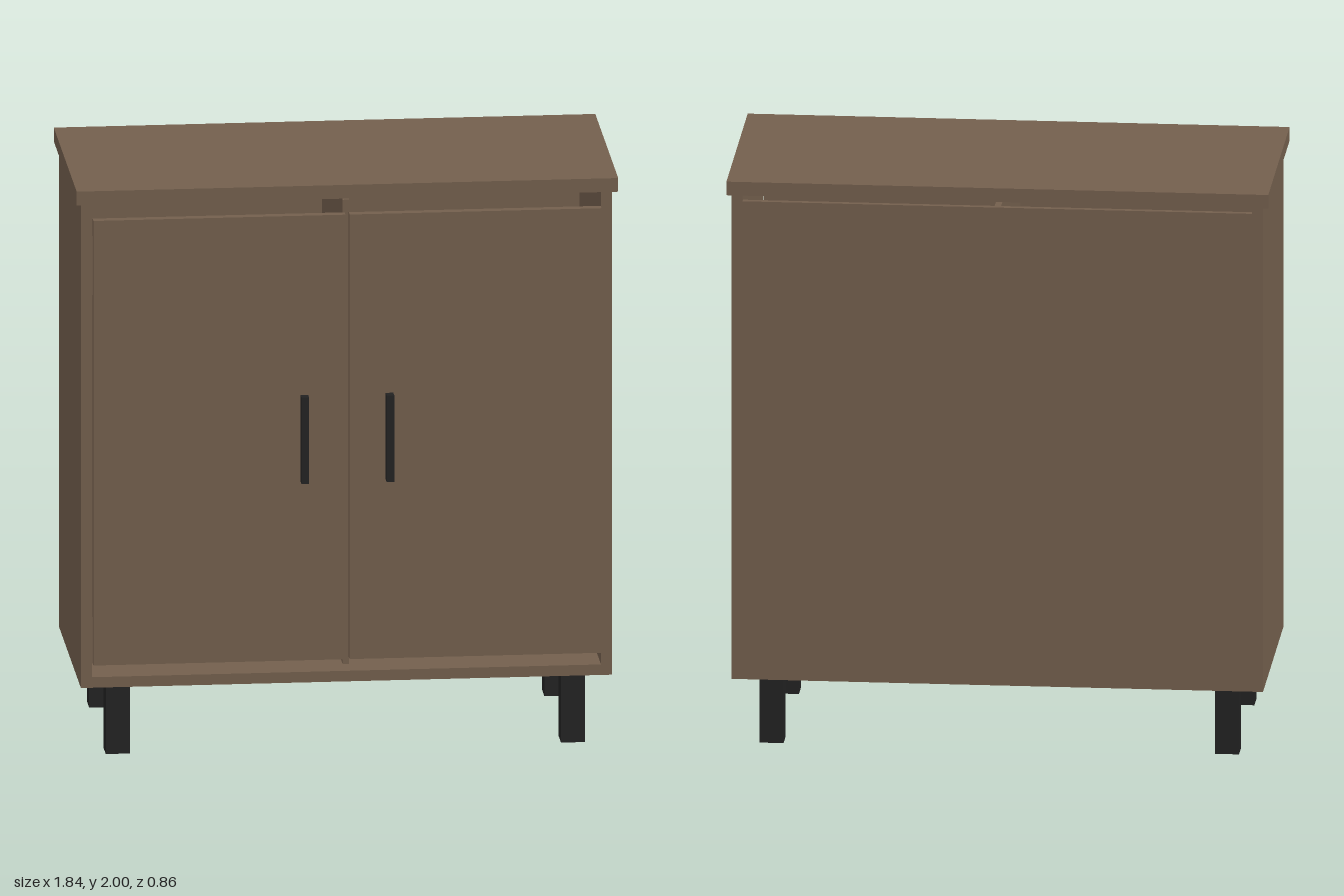
import * as THREE from 'three';

export function createModel() {
  const model = new THREE.Group();
  model.name = 'cabinet';

  const wood = new THREE.MeshStandardMaterial({ color: 0x735f4d });
  wood.name = 'brown wood';
  const black = new THREE.MeshStandardMaterial({ color: 0x222222 });
  black.name = 'black metal';

  // Box given by its low and high limits on each axis
  function panel(name, material, [x0, x1], [y0, y1], [z0, z1]) {
    const mesh = new THREE.Mesh(new THREE.BoxGeometry(x1 - x0, y1 - y0, z1 - z0), material);
    mesh.position.set((x0 + x1) / 2, (y0 + y1) / 2, (z0 + z1) / 2);
    mesh.name = name;
    model.add(mesh);
  }
  // Limits on the left (+1) or right (-1) side
  const mirror = (side, a, b) => (side > 0 ? [a, b] : [-b, -a]);

  const outer = 0.904, inner = 0.867, back = -0.43, front = 0.355;

  // Carcass
  panel('top', wood, [-0.922, 0.922], [1.952, 2], [back, 0.393]);
  panel('bottom', wood, [-inner, inner], [0.244, 0.281], [back, front]);
  panel('backPanel', wood, [-inner, inner], [0.281, 1.932], [back, back + 0.02]);
  panel('divider', wood, [-0.011, 0.011], [0.3, 1.932], [back + 0.02, 0.335]);

  for (const side of [1, -1]) {
    const label = side > 0 ? 'left' : 'right';
    panel(label + 'Side', wood, mirror(side, inner, outer), [0.244, 1.952], [back, front]);
    panel(label + 'Shelf', wood, mirror(side, 0.011, inner), [1.585, 1.62], [back + 0.02, 0.335]);

    // Doors stand just in front of the carcass
    panel(label + 'Door', wood, mirror(side, 0.007, 0.865), [0.333, 1.896], [0.364, 0.395]);
    const hx = side > 0 ? 0.143 : -0.147;
    panel(label + 'Handle', black, [hx - 0.013, hx + 0.013], [0.962, 1.266], [0.395, 0.43]);

    // Legs
    const legX = mirror(side, 0.734, 0.816);
    panel(label + 'FrontLeg', black, legX, [0, 0.244], [0.237, 0.32]);
    panel(label + 'BackLeg', black, legX, [0, 0.244], [-0.357, -0.275]);
  }

  return model;
}
